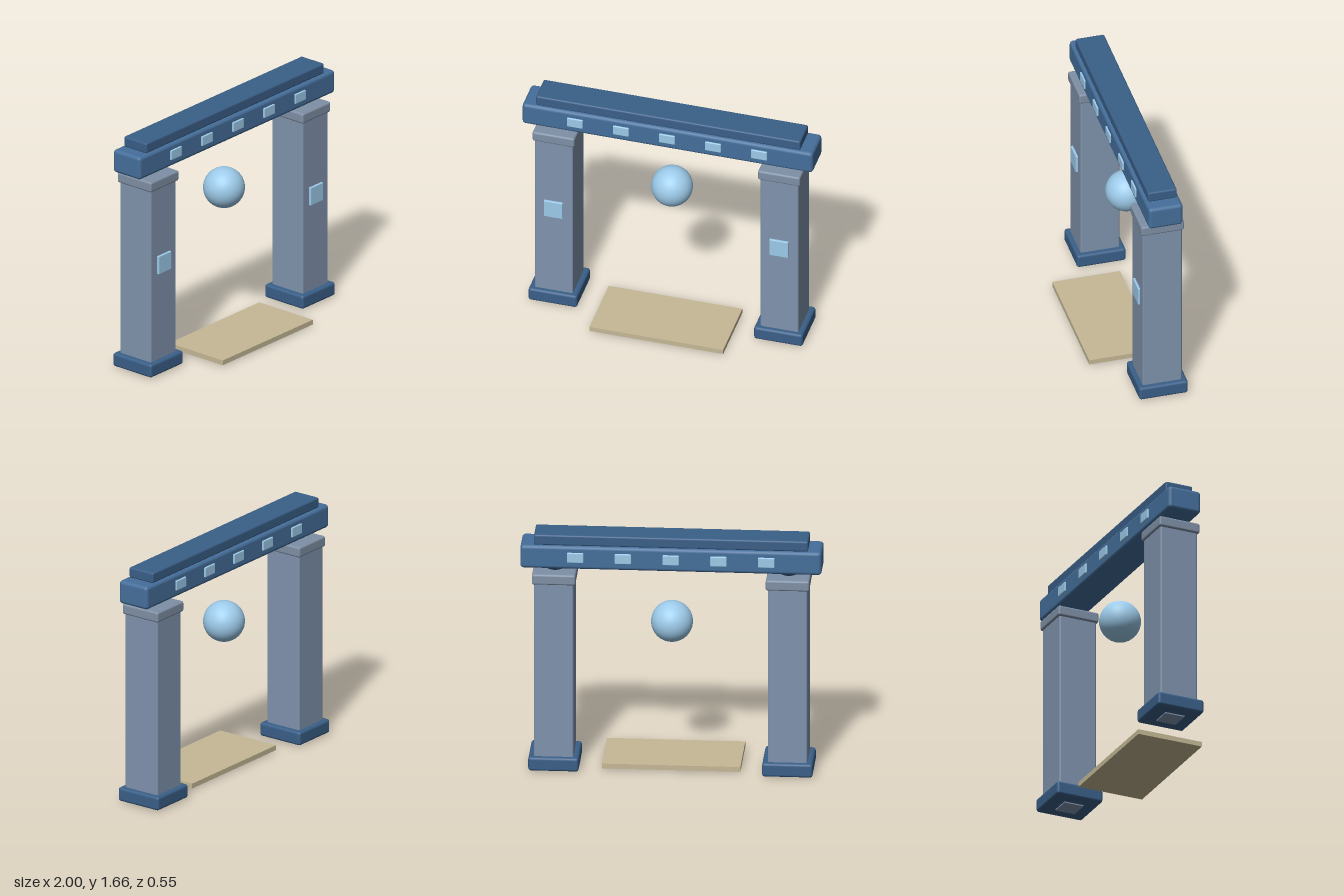
import * as THREE from 'three';
import { RoundedBoxGeometry } from 'three/addons/geometries/RoundedBoxGeometry.js';

const material = (color) => new THREE.MeshStandardMaterial({ color });

export function createModel() {
  const model = new THREE.Group();
  model.name = 'gate';
  const stone = material(0x8093ad);
  const capStone = material(0x7f90a6);
  const darkBlue = material(0x3a5f88);
  const beamBlue = material(0x456f9b);
  const paleBlue = material(0x9dcbea);
  const sand = material(0xc6b996);
  const axisZ = -0.108; // depth of the gate's centre plane

  function add(parent, name, geometry, mat, x, y, z) {
    const mesh = new THREE.Mesh(geometry, mat);
    mesh.name = name;
    mesh.position.set(x, y, z);
    parent.add(mesh);
    return mesh;
  }

  // Box given by width, depth and its bottom and top heights
  function block(parent, name, mat, x, z, w, d, y0, y1, r) {
    const h = y1 - y0;
    const geometry = r
      ? new RoundedBoxGeometry(w, h, d, 3, r)
      : new THREE.BoxGeometry(w, h, d);
    return add(parent, name, geometry, mat, x, (y0 + y1) / 2, z);
  }

  // Pillars, mirrored left and right
  for (const side of [-1, 1]) {
    const pillar = new THREE.Group();
    pillar.name = side > 0 ? 'leftPillar' : 'rightPillar';
    pillar.position.x = side * 0.776;
    model.add(pillar);
    block(pillar, 'footPad', stone, 0, axisZ, 0.14, 0.14, 0, 0.05);
    block(pillar, 'base', darkBlue, 0, axisZ, 0.335, 0.335, 0.008, 0.103, 0.018);
    block(pillar, 'shaft', stone, 0, axisZ, 0.263, 0.27, 0.05, 1.36, 0.012);
    block(pillar, 'cap', capStone, 0, axisZ, 0.29, 0.295, 1.325, 1.398, 0.014);
    block(pillar, 'shaftPanel', paleBlue, 0, 0.024, 0.13, 0.036, 0.715, 0.845, 0.005);
    // Ball joint carrying the beam
    add(pillar, 'beamJoint', new THREE.SphereGeometry(0.118, 32, 20), darkBlue, 0, 1.505, axisZ);
  }

  // Crossbeam with the slab on top
  block(model, 'crossbeam', beamBlue, 0, axisZ, 2, 0.236, 1.43, 1.592, 0.024);
  block(model, 'topSlab', darkBlue, 0, axisZ, 1.82, 0.198, 1.59, 1.663, 0.012);

  // Small lights along the front and back of the beam
  for (let i = -2; i <= 2; i++) {
    for (const face of [-1, 1]) {
      block(model, face > 0 ? 'frontBeamLight' : 'backBeamLight', paleBlue,
        i * 0.317, axisZ + face * 0.112, 0.11, 0.034, 1.48, 1.55, 0.006);
    }
  }

  // Floating orb in the opening
  add(model, 'orb', new THREE.SphereGeometry(0.139, 48, 32), paleBlue, 0, 1.037, axisZ);

  // Threshold plate on the ground
  block(model, 'threshold', sand, 0, 0.04, 0.92, 0.465, 0.008, 0.042);

  return model;
}
